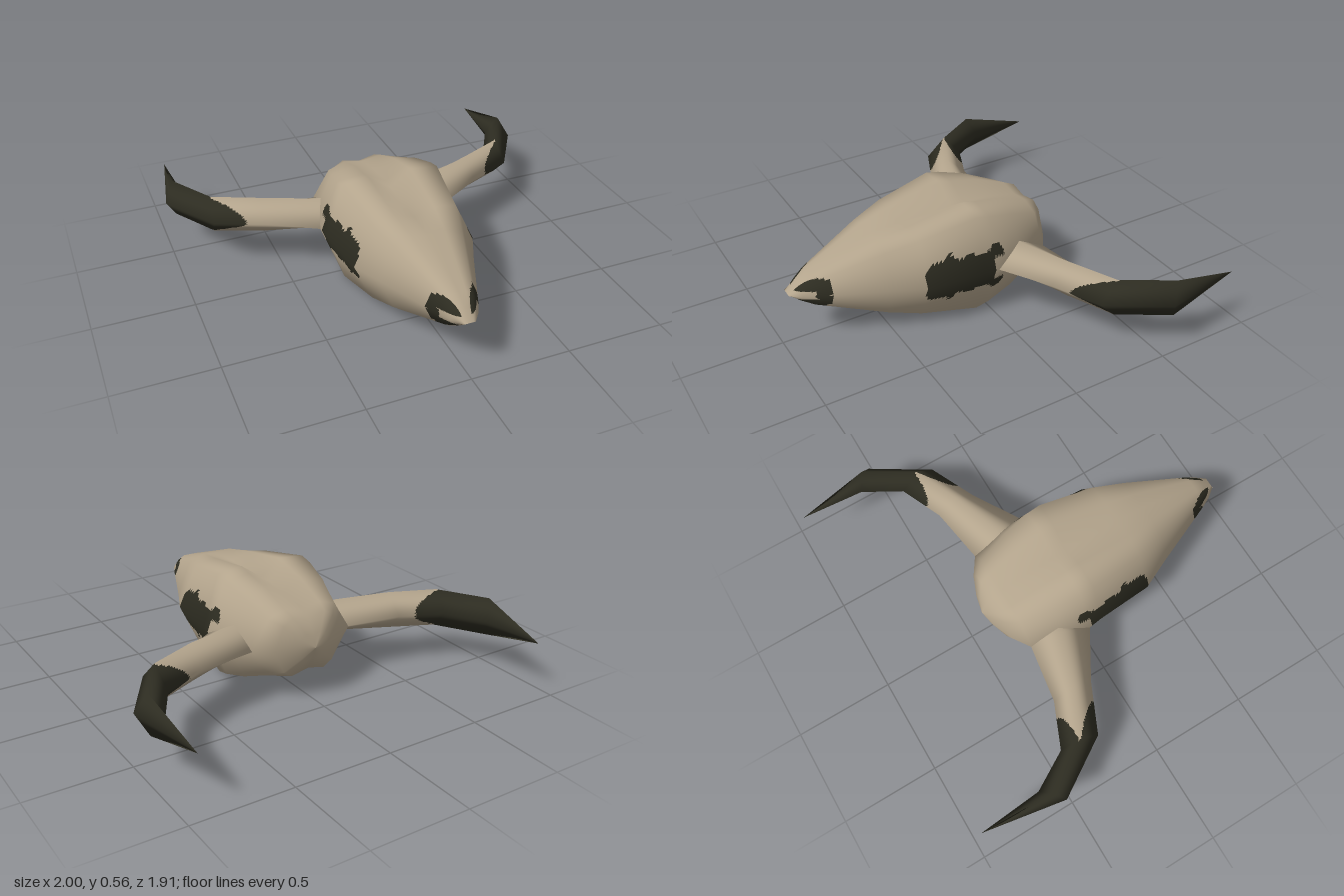
import * as THREE from 'three';

const MID = 0.278; // height of the horizontal symmetry plane

const bone = new THREE.MeshStandardMaterial({ color: 0xb3a48c });
bone.name = 'bone';
const dark = new THREE.MeshStandardMaterial({ color: 0x2d2c21 });
dark.name = 'darkHorn';

// Closed loft through rings of points. Faces are subdivided (normals interpolated)
// so that isDark(point, u, v) can split them between the two materials.
function loft(name, rings, nu, nv, isDark) {
  const m = rings[0].length;
  const coarse = new THREE.BufferGeometry().setFromPoints(rings.flat());
  const index = [];
  for (let i = 0; i < rings.length - 1; i++) {
    for (let j = 0; j < m; j++) {
      const k = (j + 1) % m;
      const a = i * m + j, b = i * m + k, c = a + m, d = b + m;
      index.push(a, b, c, b, d, c);
    }
  }
  coarse.setIndex(index);
  coarse.computeVertexNormals();
  const P = coarse.attributes.position, N = coarse.attributes.normal;
  const corner = (attr, i, j) => new THREE.Vector3().fromBufferAttribute(attr, i * m + (j % m));

  const sample = (attr, i, j, s, t) => {
    const near = corner(attr, i, j).lerp(corner(attr, i, j + 1), t);
    const far = corner(attr, i + 1, j).lerp(corner(attr, i + 1, j + 1), t);
    return near.lerp(far, s);
  };

  const lists = [{ p: [], n: [] }, { p: [], n: [] }];
  for (let i = 0; i < rings.length - 1; i++) {
    for (let j = 0; j < m; j++) {
      // fine grid of points for this face
      const grid = [];
      for (let a = 0; a <= nu; a++) {
        for (let b = 0; b <= nv; b++) {
          grid.push({
            p: sample(P, i, j, a / nu, b / nv),
            n: sample(N, i, j, a / nu, b / nv).normalize(),
            u: i + a / nu, v: j + b / nv,
          });
        }
      }
      for (let a = 0; a < nu; a++) {
        for (let b = 0; b < nv; b++) {
          const q = a * (nv + 1) + b, r = q + nv + 1;
          for (const tri of [[q, q + 1, r], [q + 1, r + 1, r]]) {
            const c = tri.map((k) => grid[k]);
            const mid = new THREE.Vector3().add(c[0].p).add(c[1].p).add(c[2].p).divideScalar(3);
            const u = (c[0].u + c[1].u + c[2].u) / 3, v = (c[0].v + c[1].v + c[2].v) / 3;
            const list = lists[isDark(mid, u, v) ? 1 : 0];
            for (const k of c) {
              list.p.push(k.p.x, k.p.y, k.p.z);
              list.n.push(k.n.x, k.n.y, k.n.z);
            }
          }
        }
      }
    }
  }
  const geo = new THREE.BufferGeometry();
  geo.setAttribute('position', new THREE.Float32BufferAttribute(lists[0].p.concat(lists[1].p), 3));
  geo.setAttribute('normal', new THREE.Float32BufferAttribute(lists[0].n.concat(lists[1].n), 3));
  const split = lists[0].p.length / 3;
  geo.addGroup(0, split, 0);
  geo.addGroup(split, lists[1].p.length / 3, 1);
  const mesh = new THREE.Mesh(geo, [bone, dark]);
  mesh.name = name;
  return mesh;
}

// Half-height of the eye socket patch along z
const EYE = [[-0.045, 0.09], [-0.03, 0.12], [0.01, 0.13], [0.03, 0.1], [0.1, 0.095], [0.13, 0.11],
  [0.2, 0.09], [0.235, 0.14], [0.26, 0.105], [0.34, 0.1], [0.37, 0.06]];

function inEye(p) {
  const dy = Math.abs(p.y - MID);
  if (Math.abs(p.x) < 0.2 || (p.z < 0.015 && dy < 0.06)) return false;
  for (let i = 0; i < EYE.length - 1; i++) {
    const [z0, h0] = EYE[i], [z1, h1] = EYE[i + 1];
    if (p.z >= z0 && p.z < z1) return dy < h0 + (h1 - h0) * (p.z - z0) / (z1 - z0);
  }
  return false;
}

// C-shaped nostrils on the muzzle
function inNostril(p) {
  const x = Math.abs(p.x), dy = Math.abs(p.y - MID);
  if (p.z < 0.77 || (x < 0.095 && dy < 0.022)) return false;
  return ((x - 0.073) / 0.052) ** 2 + (dy / 0.077) ** 2 < 1;
}

// Skull stations: z, half width, centre height, inner ridge x/height, outer ridge x/height
const SKULL = [
  [0.953, 0.03, 0, 0.01, 0, 0.02, 0],
  [0.9, 0.07, 0.047, 0.02, 0.045, 0.045, 0.035],
  [0.84, 0.1, 0.085, 0.035, 0.085, 0.07, 0.065],
  [0.52, 0.24, 0.19, 0.08, 0.2, 0.17, 0.17],
  [0.36, 0.315, 0.195, 0.1, 0.23, 0.215, 0.21],
  [0.07, 0.335, 0.2, 0.11, 0.278, 0.25, 0.265],
  [0, 0.345, 0.2, 0.11, 0.262, 0.25, 0.25],
  [-0.14, 0.33, 0.19, 0.105, 0.235, 0.23, 0.21],
  [-0.3, 0.28, 0.16, 0.1, 0.175, 0.19, 0.145],
  [-0.36, 0.19, 0.13, 0.09, 0.15, 0.14, 0.12],
  [-0.4, 0.09, 0.06, 0.04, 0.07, 0.065, 0.05],
  [-0.42, 0, 0, 0, 0, 0, 0],
];

function makeSkull() {
  const rings = SKULL.map(([z, w, h0, x1, h1, x2, h2]) => {
    const side = [[x1, h1], [x2, h2], [w, 0], [x2, -h2], [x1, -h1]];
    const loop = [[0, h0], ...side, [0, -h0], ...side.map(([x, y]) => [-x, y]).reverse()];
    return loop.map(([x, y]) => new THREE.Vector3(x, MID + y, z));
  });
  return loft('skull', rings, 14, 14, (p) => inEye(p) || inNostril(p));
}

// Horn stations: back edge x/z, front edge x/z, half height (diamond section)
const HORN = [
  [0.18, -0.26, 0.2, -0.02, 0.08],
  [0.28, -0.3, 0.345, 0, 0.085],
  [0.57, -0.345, 0.58, -0.14, 0.098],
  [0.79, -0.44, 0.82, -0.25, 0.1],
  [0.9, -0.63, 1, -0.535, 0.1],
  [0.925, -0.953, 0.925, -0.953, 0],
];

function makeHorn(name, s) {
  const rings = HORN.map(([bx, bz, fx, fz, h]) => {
    const cx = (bx + fx) / 2, cz = (bz + fz) / 2;
    return [[bx, 0, bz], [cx, s * h, cz], [fx, 0, fz], [cx, -s * h, cz]]
      .map(([x, y, z]) => new THREE.Vector3(s * x, MID + y, z));
  });
  // dark tip reaches further back along the edges than along the top and bottom
  return loft(name, rings, 20, 14, (p, u, v) => u > 3.05 - 0.68 * Math.abs(Math.cos(v * Math.PI / 2)));
}

export function createModel() {
  const group = new THREE.Group();
  group.name = 'hornedSkull';
  group.add(makeSkull(), makeHorn('leftHorn', 1), makeHorn('rightHorn', -1));
  return group;
}
